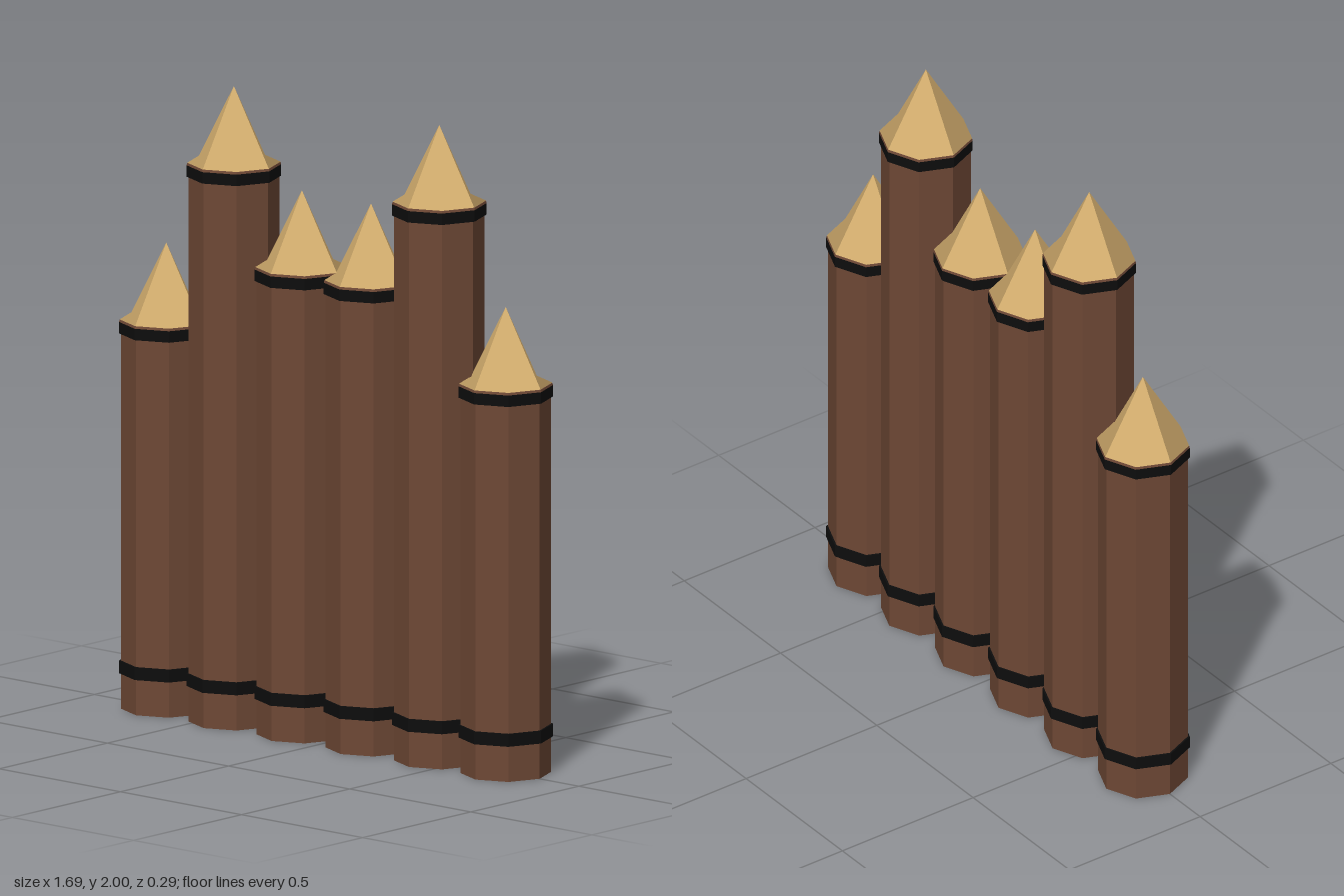
import * as THREE from 'three';

const RADIUS = 0.14, BAND_RADIUS = 0.146, TIP_RADIUS = 0.144, TIP_HEIGHT = 0.24;

function octagon(name, rTop, rBottom, y0, y1, material) {
  const geometry = new THREE.CylinderGeometry(rTop, rBottom, y1 - y0, 8);
  geometry.translate(0, (y0 + y1) / 2, 0);
  const mesh = new THREE.Mesh(geometry, material);
  mesh.name = name;
  return mesh;
}

// Sharpened point: four facets on an octagonal base, each facet with a
// small corner ledge that shares the facet's shading.
function tipGeometry(r, h) {
  const pos = [], nor = [];
  const at = (a) => [r * Math.sin(a), 0, r * Math.cos(a)];
  for (let i = 0; i < 4; i++) {
    const a = (i * Math.PI) / 2, m = a + Math.PI / 4;
    const v0 = at(a), v1 = at(m), v2 = at(a + Math.PI / 2);
    pos.push(0, h, 0, ...v0, ...v2, ...v0, ...v1, ...v2);
    const n = new THREE.Vector3(h * Math.sin(m), r, h * Math.cos(m)).normalize();
    for (let k = 0; k < 6; k++) nor.push(n.x, n.y, n.z);
  }
  const geometry = new THREE.BufferGeometry();
  geometry.setAttribute('position', new THREE.Float32BufferAttribute(pos, 3));
  geometry.setAttribute('normal', new THREE.Float32BufferAttribute(nor, 3));
  return geometry;
}

export function createModel() {
  const bark = new THREE.MeshStandardMaterial({ name: 'bark brown', color: 0x6e4835, flatShading: true });
  const cutWood = new THREE.MeshStandardMaterial({ name: 'cut wood tan', color: 0xd0ab6c });
  const iron = new THREE.MeshStandardMaterial({ name: 'band black', color: 0x0d0d0d, flatShading: true });

  const model = new THREE.Group();
  model.name = 'palisade';
  const tip = tipGeometry(TIP_RADIUS, TIP_HEIGHT);

  // x position and shoulder height of each stake
  const stakes = [[-0.703, 1.226], [-0.424, 1.76], [-0.143, 1.472], [0.142, 1.472], [0.424, 1.76], [0.698, 1.226]];
  for (const [x, top] of stakes) {
    const stake = new THREE.Group();
    stake.name = 'stake';
    stake.position.x = x;
    stake.add(
      octagon('log', RADIUS, RADIUS, 0, top - 0.007, bark),
      octagon('logRim', TIP_RADIUS, BAND_RADIUS, top - 0.007, top, bark),
      octagon('upperBand', BAND_RADIUS, BAND_RADIUS, top - 0.043, top - 0.007, iron),
      octagon('lowerBand', BAND_RADIUS, BAND_RADIUS, 0.112, 0.152, iron),
    );
    const point = new THREE.Mesh(tip, cutWood);
    point.name = 'sharpenedTip';
    point.position.y = top + 0.001;
    stake.add(point);
    model.add(stake);
  }
  return model;
}
